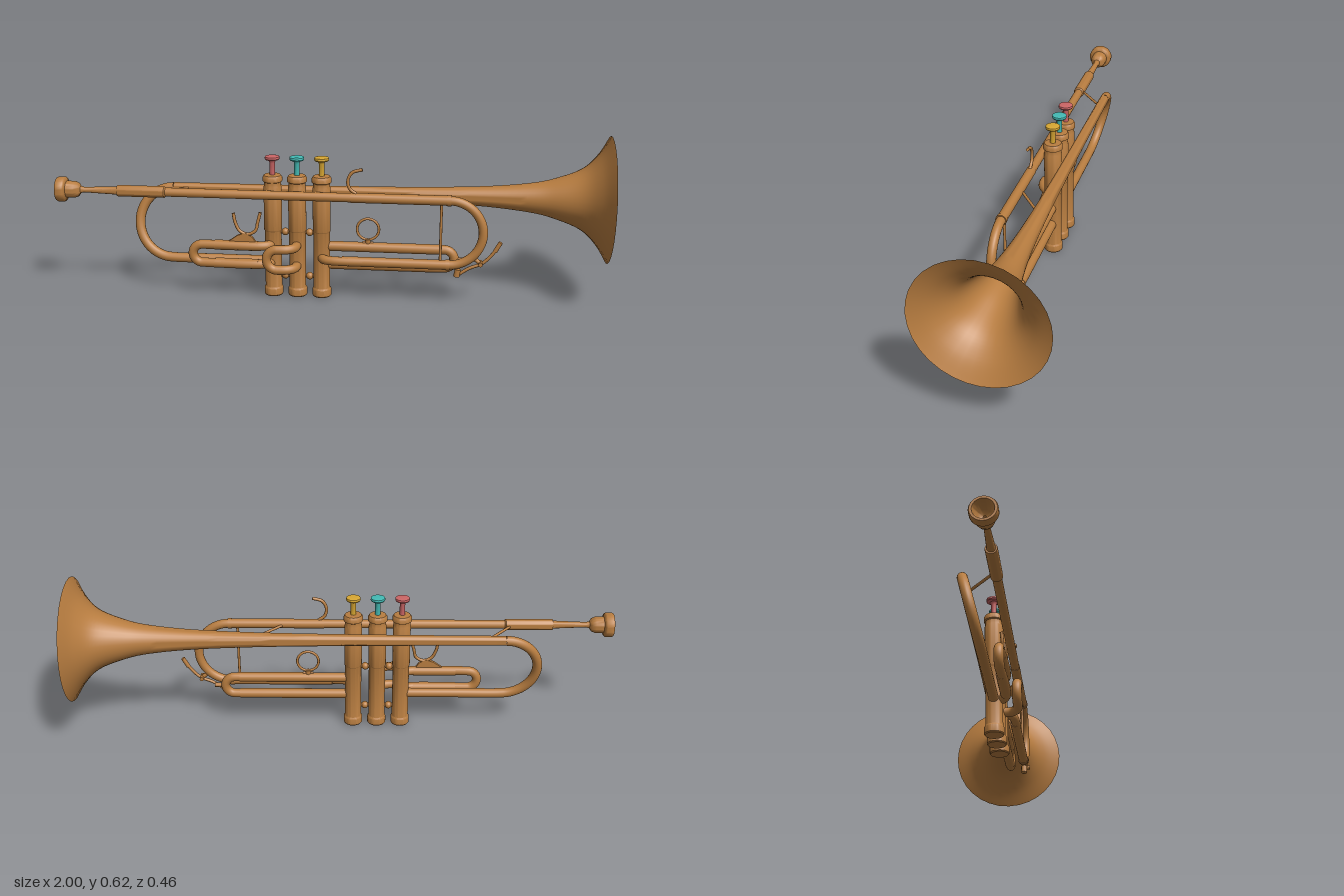
import * as THREE from 'three';
import { toCreasedNormals } from 'three/addons/utils/BufferGeometryUtils.js';

const V = (x, y, z) => new THREE.Vector3(x, y, z);
const paint = (color) => new THREE.MeshStandardMaterial({ color, side: THREE.DoubleSide });

export function createModel() {
  const model = new THREE.Group();
  const brass = paint(0xb87d40);

  const add = (name, geometry, material = brass, parent = model) => {
    const mesh = new THREE.Mesh(geometry, material);
    mesh.name = name;
    parent.add(mesh);
    return mesh;
  };
  // Tube through a list of points
  const tube = (name, points, r, segments = 100, sides = 16) =>
    add(name, new THREE.TubeGeometry(new THREE.CatmullRomCurve3(points), segments, r, sides));
  // Points of a half-circle bend between an upper and a lower leg; dir is +1 or -1 along x
  const bend = (x, top, bottom, dir, z0, z1 = z0) => {
    const r = (top - bottom) / 2, points = [];
    for (let i = 0; i <= 14; i++) {
      const a = Math.PI * i / 14;
      points.push(V(x + dir * r * Math.sin(a), bottom + r + r * Math.cos(a), z0 + (z1 - z0) * (1 - Math.cos(a)) / 2));
    }
    return points;
  };
  // Straight rod between two points
  const rod = (name, a, b, r, sides = 12) => {
    const d = b.clone().sub(a);
    const mesh = add(name, new THREE.CylinderGeometry(r, r, d.length(), sides));
    mesh.position.copy(a).add(b).multiplyScalar(0.5);
    mesh.quaternion.setFromUnitVectors(V(0, 1, 0), d.normalize());
    return mesh;
  };
  // Turned part; profile is [radius, position] along the x axis
  const turned = (name, profile, y, z, sides = 32, crease = 0.7) => {
    const g = new THREE.LatheGeometry(profile.map((p) => new THREE.Vector2(...p)), sides);
    g.rotateZ(-Math.PI / 2);
    const mesh = add(name, toCreasedNormals(g, crease));
    mesh.position.set(0, y, z);
    return mesh;
  };

  // Main levels
  const bellY = 0.385, pipeY = 0.397, pipeZ = 0.11, valveZ = 0.06;

  // Bell with a smooth flare
  const flare = new THREE.SplineCurve([[0.018, -0.59], [0.02, -0.2], [0.023, 0.1], [0.028, 0.35], [0.038, 0.57],
    [0.055, 0.73], [0.077, 0.82], [0.112, 0.905], [0.165, 0.96], [0.23, 1]].map((p) => new THREE.Vector2(...p)));
  turned('bell', flare.getPoints(54).map((p) => [p.x, p.y]), bellY, 0, 32, 1.2);

  // Bell bow, running back to the first valve
  tube('bellBow', [...bend(-0.59, bellY, 0.13, -1, 0, valveZ), V(-0.4, 0.13, valveZ), V(-0.21, 0.13, valveZ)], 0.018);

  // Mouthpiece with a hollow cup
  turned('mouthpiece', [[0.005, -0.95], [0.02, -0.96], [0.031, -0.985], [0.035, -1], [0.043, -1], [0.046, -0.994],
    [0.046, -0.972], [0.042, -0.967], [0.031, -0.964], [0.031, -0.935], [0.025, -0.92], [0.013, -0.912],
    [0.01, -0.9], [0.015, -0.77]], pipeY, pipeZ);
  turned('mouthpieceReceiver', [[0.01, -0.775], [0.02, -0.775], [0.021, -0.77], [0.021, -0.6], [0.016, -0.595]], pipeY, pipeZ);

  // Leadpipe and main tuning slide, ending in the third valve
  tube('leadpipeAndTuningSlide', [V(-0.62, pipeY, pipeZ), V(-0.3, pipeY, pipeZ), V(0.1, pipeY, pipeZ),
    ...bend(0.435, pipeY, 0.155, 1, pipeZ), V(0.2, 0.155, pipeZ), V(0.01, 0.155, pipeZ),
    V(-0.02, 0.155, pipeZ - 0.012), V(-0.03, 0.155, valveZ)], 0.0165, 200);
  rod('upperSlideSleeve', V(0.08, pipeY, pipeZ), V(0.43, pipeY, pipeZ), 0.018, 20);
  rod('lowerSlideSleeve', V(0.05, 0.155, pipeZ), V(0.43, 0.155, pipeZ), 0.018, 20);
  for (const y of [pipeY, 0.155]) rod('slideFerrule', V(0.425, y, pipeZ), V(0.44, y, pipeZ), 0.02, 20);

  // First valve slide
  tube('firstValveSlide', [V(-0.21, 0.2, valveZ), V(-0.22, 0.2, 0.09), V(-0.25, 0.2, 0.105),
    ...bend(-0.468, 0.2, 0.13, -1, 0.105), V(-0.25, 0.13, 0.105), V(-0.22, 0.13, 0.09), V(-0.21, 0.13, valveZ)], 0.017, 140);
  for (const y of [0.2, 0.13]) rod('firstSlideSleeve', V(-0.42, y, 0.105), V(-0.26, y, 0.105), 0.0185, 20);

  // Second valve slide, a short loop in front of the valves
  tube('secondValveSlide', [V(-0.12, 0.2, valveZ), V(-0.125, 0.2, 0.115), V(-0.15, 0.2, 0.135),
    ...bend(-0.185, 0.2, 0.122, -1, 0.14), V(-0.15, 0.122, 0.135), V(-0.125, 0.122, 0.115), V(-0.12, 0.122, valveZ)], 0.017, 90);

  // Third valve slide
  tube('thirdValveSlide', [V(-0.03, 0.195, valveZ), V(0.2, 0.195, valveZ),
    ...bend(0.42, 0.195, 0.125, 1, valveZ), V(0.2, 0.125, valveZ), V(-0.03, 0.125, valveZ)], 0.017, 120);
  for (const y of [0.195, 0.125]) rod('thirdSlideSleeve', V(0, y, valveZ), V(0.4, y, valveZ), 0.0185, 20);

  // Three valves with coloured stems and buttons
  [[-0.21, 0xcc6666], [-0.12, 0x44bbb5], [-0.03, 0xd9a833]].forEach(([x, color]) => {
    const valve = new THREE.Group();
    valve.name = 'valve';
    valve.position.set(x, 0, valveZ);
    model.add(valve);
    const lathe = (name, profile, material) => add(name, toCreasedNormals(
      new THREE.LatheGeometry(profile.map((p) => new THREE.Vector2(...p)), 28), 0.6), material, valve);
    lathe('valveCasing', [[0, 0], [0.032, 0], [0.035, 0.004], [0.035, 0.028], [0.031, 0.034], [0.031, 0.25],
      [0.033, 0.253], [0.033, 0.415], [0.031, 0.42], [0.031, 0.435], [0.036, 0.438], [0.036, 0.452],
      [0.031, 0.46], [0.012, 0.462], [0, 0.462]]);
    lathe('valveButton', [[0, 0.455], [0.01, 0.455], [0.01, 0.508], [0.014, 0.515], [0.025, 0.518], [0.027, 0.522],
      [0.026, 0.529], [0.018, 0.531], [0, 0.529]], paint(color));
  });

  // Knobbed links between the valves
  for (const x of [-0.165, -0.075]) for (const y of [0.075, 0.245]) {
    rod('valveLink', V(x - 0.02, y, valveZ), V(x + 0.02, y, valveZ), 0.008);
    add('valveLinkKnob', new THREE.SphereGeometry(0.014, 16, 12)).position.set(x, y, valveZ);
  }

  // Braces
  rod('rearBrace', V(-0.63, pipeY, pipeZ), V(-0.52, bellY, 0), 0.005);
  rod('frontBrace', V(0.22, pipeY, pipeZ), V(0.34, bellY, 0.01), 0.005);
  rod('slideBrace', V(0.405, 0.155, pipeZ), V(0.405, pipeY, pipeZ), 0.005);

  // Finger hook on the leadpipe
  tube('fingerHook', [V(0.1, 0.412, pipeZ), V(0.077, 0.43, pipeZ), V(0.07, 0.46, pipeZ), V(0.085, 0.49, pipeZ),
    V(0.122, 0.502, pipeZ)], 0.006, 30, 10);

  // Finger ring on the third slide
  add('fingerRing', new THREE.TorusGeometry(0.04, 0.005, 10, 32)).position.set(0.14, 0.264, valveZ);
  rod('fingerRingPost', V(0.14, 0.205, valveZ), V(0.14, 0.226, valveZ), 0.01);
  rod('fingerRingFoot', V(0.12, 0.213, valveZ), V(0.16, 0.213, valveZ), 0.005);

  // Thumb saddle on the first slide
  tube('thumbSaddle', [V(-0.35, 0.322, 0.1), V(-0.342, 0.285, 0.103), V(-0.325, 0.255, 0.105), V(-0.295, 0.245, 0.105),
    V(-0.268, 0.26, 0.105), V(-0.26, 0.29, 0.103), V(-0.25, 0.328, 0.1)], 0.006, 40, 10);
  const foot = new THREE.Shape([[-0.375, 0.212], [-0.265, 0.212], [-0.28, 0.235], [-0.305, 0.25], [-0.335, 0.24]]
    .map((p) => new THREE.Vector2(...p)));
  add('thumbSaddleFoot', new THREE.ExtrudeGeometry(foot, { depth: 0.012, bevelEnabled: false })).position.z = 0.099;

  // Water key on the tuning slide
  tube('waterKeyLever', [V(0.465, 0.115, pipeZ), V(0.51, 0.145, pipeZ), V(0.555, 0.165, pipeZ), V(0.59, 0.2, pipeZ),
    V(0.617, 0.243, pipeZ)], 0.006, 30, 10);
  rod('waterKeyPivot', V(0.55, 0.165, pipeZ - 0.018), V(0.55, 0.165, pipeZ + 0.018), 0.008);
  rod('waterKeyPost', V(0.525, 0.185, pipeZ), V(0.555, 0.16, pipeZ), 0.008);
  rod('waterKeyCork', V(0.47, 0.14, pipeZ), V(0.465, 0.112, pipeZ), 0.011);
  rod('waterKeyTip', V(0.6, 0.212, pipeZ), V(0.619, 0.247, pipeZ), 0.008);

  // Stop knob at the end of the third slide
  rod('thirdSlideKnob', V(0.465, 0.16, valveZ), V(0.495, 0.16, valveZ), 0.008);

  return model;
}
